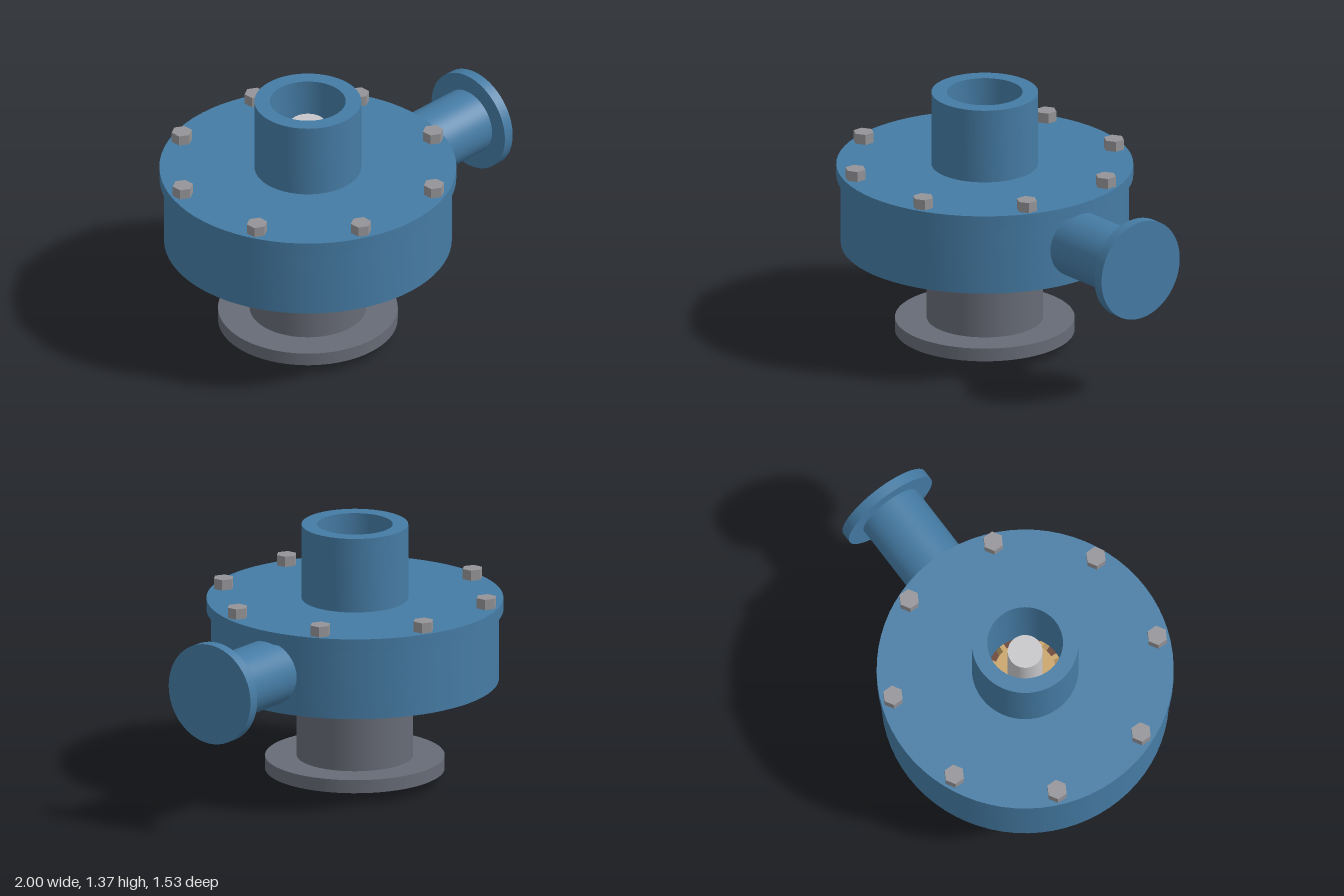
import * as THREE from 'three';
import { toCreasedNormals } from 'three/addons/utils/BufferGeometryUtils.js';

const AXIS_X = -0.235;

function material(name, color) {
  const m = new THREE.MeshStandardMaterial({ color });
  m.name = name;
  return m;
}

export function createModel() {
  const blue = material('blue paint', 0x457ba4);
  const iron = material('grey iron', 0x676b76);
  const boltSteel = material('bolt steel', 0x949498);
  const shaftSteel = material('shaft steel', 0xc6c6ca);
  const bronze = material('bronze', 0xc9a469);
  const brown = material('dark brown', 0x6b4030);

  const model = new THREE.Group();
  model.name = 'centrifugalPump';

  // Everything that turns about the vertical shaft hangs in this group
  const core = new THREE.Group();
  core.name = 'pumpCore';
  core.position.x = AXIS_X;
  model.add(core);

  const add = (parent, name, geometry, mat) => {
    const mesh = new THREE.Mesh(geometry, mat);
    mesh.name = name;
    parent.add(mesh);
    return mesh;
  };

  // Revolved solid from [radius, height] pairs, counter-clockwise
  const turned = (profile) => toCreasedNormals(
    new THREE.LatheGeometry(profile.map(([r, y]) => new THREE.Vector2(r, y)), 72), 0.6);

  // Upright cylinder between two heights
  const disc = (radius, y0, y1, sides = 72) =>
    new THREE.CylinderGeometry(radius, radius, y1 - y0, sides).translate(0, (y0 + y1) / 2, 0);

  // Hollow casing, lid and suction pipe
  add(core, 'casing', turned([
    [0, 0.54], [0.742, 0.54], [0.742, 0.91], [0.66, 0.91], [0.66, 0.6], [0, 0.6],
  ]), blue);
  add(core, 'lidWithInlet', turned([
    [0.195, 0.91], [0.765, 0.91], [0.765, 0.975], [0.275, 0.975],
    [0.275, 1.37], [0.195, 1.37], [0.195, 0.91],
  ]), blue);

  // Bearing pedestal, foot flange and drive shaft
  add(core, 'pedestal', disc(0.3, 0.13, 0.54), iron);
  add(core, 'footFlange', disc(0.463, 0.06, 0.13), iron);
  add(core, 'shaft', disc(0.09, 0, 1.24), shaftSteel);

  // Impeller inside the casing
  add(core, 'impellerPlate', disc(0.56, 0.66, 0.7), brown);
  add(core, 'impellerHub', disc(0.16, 0.7, 0.93), bronze);
  const blades = 12;
  for (let i = 0; i < blades; i++) {
    const blade = add(core, 'impellerBlade', new THREE.BoxGeometry(0.4, 0.16, 0.025, 8, 1, 1), bronze);
    const pos = blade.geometry.attributes.position;
    for (let k = 0; k < pos.count; k++) {
      const t = (pos.getX(k) + 0.2) / 0.4;
      pos.setXYZ(k, 0.15 + 0.38 * t, pos.getY(k) + 0.78, pos.getZ(k) + 0.15 * t * t);
    }
    blade.geometry.computeVertexNormals();
    blade.rotation.y = (i / blades) * Math.PI * 2;
  }

  // Ring of hexagonal lid bolts, all facing the same way
  for (let i = 0; i < 8; i++) {
    const a = ((i + 0.5) / 8) * Math.PI * 2;
    const bolt = add(core, 'lidBolt', disc(0.054, 0.975, 1.03, 6).toNonIndexed(), boltSteel);
    bolt.geometry.computeVertexNormals();
    bolt.position.set(Math.cos(a) * 0.7, 0, Math.sin(a) * 0.7);
  }

  // Discharge pipe and its flange, lying along x
  const outlet = new THREE.Group();
  outlet.name = 'outlet';
  outlet.position.y = 0.745;
  outlet.rotation.z = -Math.PI / 2;
  model.add(outlet);
  add(outlet, 'outletPipe', disc(0.172, 0.44, 0.945), blue);
  add(outlet, 'outletFlange', disc(0.265, 0.943, 1), blue);

  return model;
}
